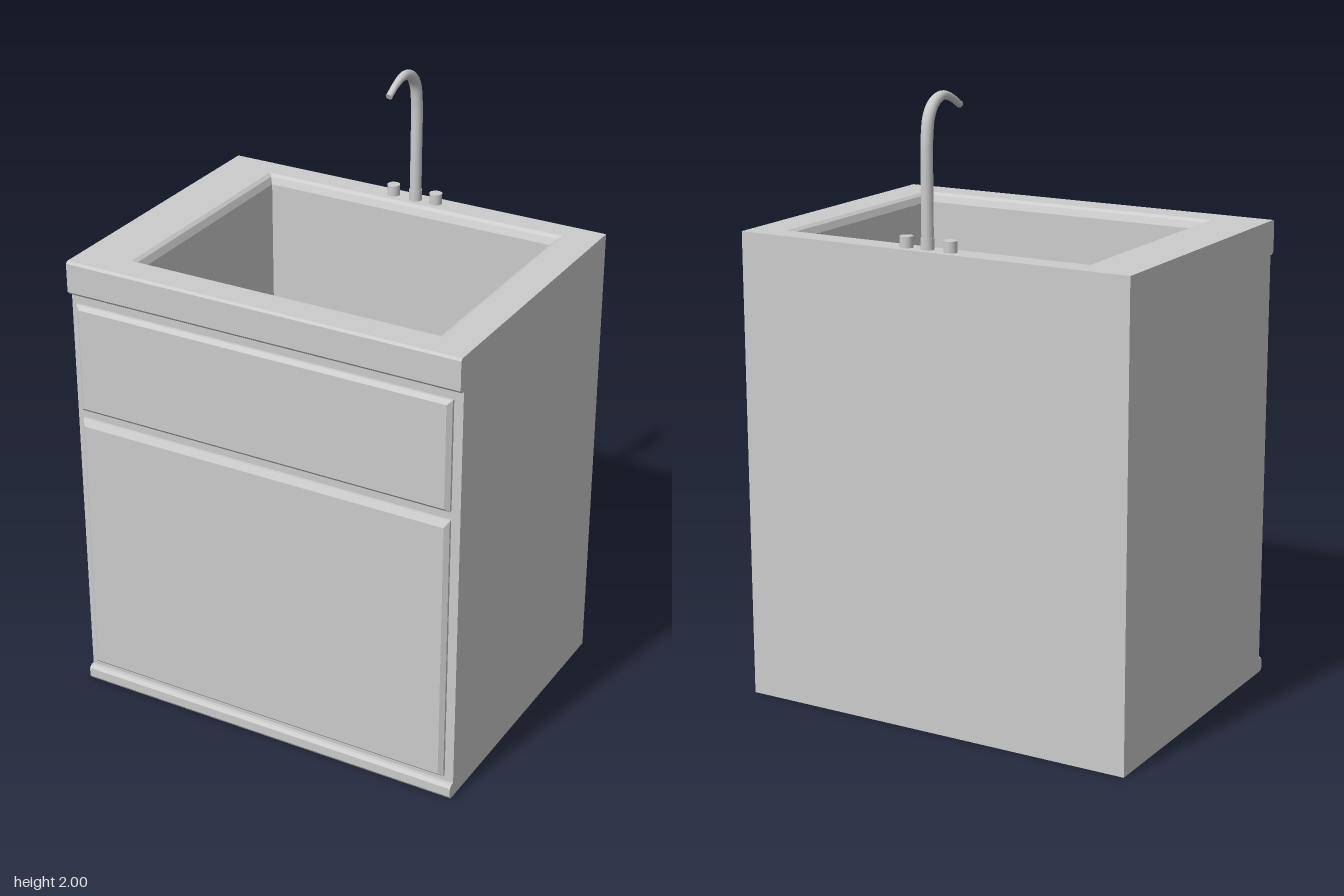
import * as THREE from 'three';

const flat = new THREE.MeshStandardMaterial({ color: 0xcccccc, flatShading: true });
const smooth = new THREE.MeshStandardMaterial({ color: 0xcccccc });

// Joins rectangles [x0, x1, y0, y1, z] into a skin and closes both ends.
function loftRects(levels) {
  const pos = [], index = [];
  for (const [x0, x1, y0, y1, z] of levels)
    pos.push(x0, y0, z, x1, y0, z, x1, y1, z, x0, y1, z);
  for (let l = 0; l < levels.length - 1; l++)
    for (let k = 0; k < 4; k++) {
      const a = l * 4 + k, b = l * 4 + (k + 1) % 4;
      index.push(a, b, b + 4, a, b + 4, a + 4);
    }
  const e = (levels.length - 1) * 4;
  index.push(0, 2, 1, 0, 3, 2, e, e + 1, e + 2, e, e + 2, e + 3);
  const indexed = new THREE.BufferGeometry();
  indexed.setAttribute('position', new THREE.Float32BufferAttribute(pos, 3));
  indexed.setIndex(index);
  const geo = indexed.toNonIndexed();
  geo.computeVertexNormals();
  return geo;
}

// Extrudes a side profile of [z, y] points across the cabinet width.
function strip(points, width) {
  const shape = new THREE.Shape(points.map(([z, y]) => new THREE.Vector2(-z, y)));
  const geo = new THREE.ExtrudeGeometry(shape, { depth: width, bevelEnabled: false });
  return geo.translate(0, 0, -width / 2).rotateY(Math.PI / 2);
}

export function createModel() {
  const group = new THREE.Group();
  const add = (name, geo, mat = flat) => {
    const mesh = new THREE.Mesh(geo, mat);
    mesh.name = name;
    group.add(mesh);
    return mesh;
  };
  const W = 0.677, TOP = 1.532, FRONT = 0.48, BACK = -0.503;

  // Cabinet and sunken basin as one skin, lofted upwards then down into the basin
  const basin = (inset, y) => [-0.505 + inset, 0.563 - inset, -0.398 + inset, 0.423 - inset, y];
  add('cabinetWithBasin', loftRects([
    [-W, W, -FRONT, -BACK, 0],
    [-W, W, -FRONT, -BACK, TOP],
    basin(0, TOP),
    basin(0.012, TOP - 0.008),
    basin(0.022, TOP - 0.03),
    basin(0.022, 1.02),
  ]).rotateX(-Math.PI / 2));

  // Front lip of the counter and base rail
  add('counterLip', strip([[0.47, 1.42], [0.492, 1.42], [0.502, 1.43], [0.502, 1.525], [0.495, TOP], [0.47, TOP]], 2 * W));
  add('baseRail', strip([[0.47, 0], [0.495, 0], [0.502, 0.01], [0.502, 0.04], [0.492, 0.05], [0.47, 0.05]], 2 * W));

  // Chamfered front panels
  const panel = (name, y0, y1, topBevel) => add(name, loftRects([
    [-0.655, 0.647, y0, y1, 0.475],
    [-0.655, 0.647, y0, y1, 0.489],
    [-0.641, 0.633, y0 + 0.012, y1 - topBevel, 0.501],
  ]));
  panel('drawerFront', 1.02, 1.387, 0.012);
  panel('door', 0.07, 0.99, 0.022);

  // Tap: base collar and a tapering gooseneck spout
  const TX = 0.024, TZ = -0.46;
  add('tapCollar', new THREE.CylinderGeometry(0.021, 0.021, 0.035, 20), smooth).position.set(TX, TOP + 0.0175, TZ);

  const path = new THREE.CatmullRomCurve3([
    [-0.46, 1.54], [-0.46, 1.7], [-0.458, 1.87], [-0.446, 1.93], [-0.416, 1.967],
    [-0.37, 1.982], [-0.32, 1.97], [-0.27, 1.943],
  ].map(([z, y]) => new THREE.Vector3(TX, y, z)));
  const STEPS = 48, SIDES = 16;
  const spout = new THREE.TubeGeometry(path, STEPS, 0.019, SIDES);
  const p = spout.attributes.position, v = new THREE.Vector3();
  for (let i = 0; i <= STEPS; i++) {
    const centre = path.getPointAt(i / STEPS);
    const scale = 1 - 0.42 * THREE.MathUtils.smoothstep(i / STEPS, 0.65, 0.97);
    for (let j = 0; j <= SIDES; j++) {
      const k = i * (SIDES + 1) + j;
      v.fromBufferAttribute(p, k).sub(centre).multiplyScalar(scale).add(centre);
      p.setXYZ(k, v.x, v.y, v.z);
    }
  }
  spout.computeBoundingSphere();
  add('tapSpout', spout, smooth);

  // Cap closing the spout's mouth
  const mouth = add('spoutMouth', new THREE.CircleGeometry(0.011, SIDES), smooth);
  mouth.position.copy(path.getPointAt(1));
  mouth.quaternion.setFromUnitVectors(new THREE.Vector3(0, 0, 1), path.getTangentAt(1));

  // Knobs on either side of the tap
  for (const [name, x] of [['rightKnob', -0.058], ['leftKnob', 0.096]])
    add(name, new THREE.CylinderGeometry(0.021, 0.021, 0.035, 20), smooth).position.set(x, TOP + 0.0175, -0.463);

  return group;
}
